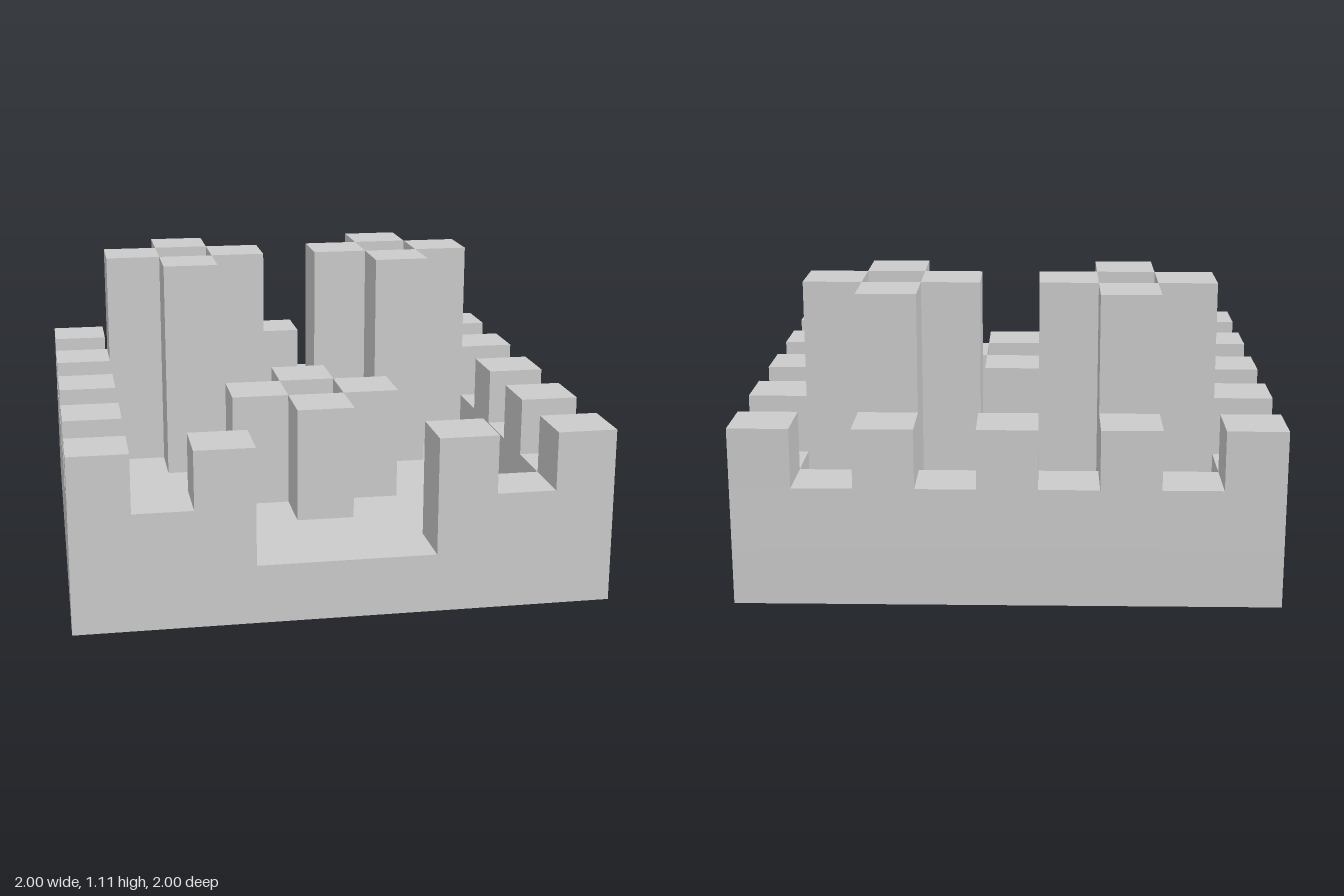
import * as THREE from 'three';

const N = 9;          // cells along each side
const U = 2 / N;      // size of one cell

export function createModel() {
  const castle = new THREE.Group();
  castle.name = 'castle';
  const material = new THREE.MeshStandardMaterial({ color: 0xcccccc, flatShading: true });

  // Block covering w x d cells from cell (i, j), between heights y0 and y1 (in cells)
  function block(name, i, j, w, d, y0, y1, parent = castle) {
    const mesh = new THREE.Mesh(new THREE.BoxGeometry(w * U, (y1 - y0) * U, d * U), material);
    mesh.position.set((i + w / 2) * U - 1, ((y0 + y1) / 2) * U, (j + d / 2) * U - 1);
    mesh.name = name;
    parent.add(mesh);
  }

  // Four pillars in a cross around an open centre cell
  function pillarCluster(name, i, j, height) {
    const group = new THREE.Group();
    group.name = name;
    for (const [di, dj] of [[0, -1], [-1, 0], [1, 0], [0, 1]]) {
      block('pillar', i + di, j + dj, 1, 1, 1, height, group);
    }
    castle.add(group);
  }

  // Floor slab and surrounding walls, with a gate gap in the front
  block('floor', 0, 0, N, N, 0, 1);
  block('backWall', 0, 0, N, 1, 1, 2);
  block('rightWall', 0, 1, 1, N - 2, 1, 2);
  block('leftWall', N - 1, 1, 1, N - 2, 1, 2);
  block('frontWallRight', 0, N - 1, 3, 1, 1, 2);
  block('frontWallLeft', N - 3, N - 1, 3, 1, 1, 2);

  // Battlements on every second wall cell, skipping the gate
  for (let i = 0; i < N; i += 2) {
    for (let j = 0; j < N; j += 2) {
      const onWall = i === 0 || i === N - 1 || j === 0 || j === N - 1;
      const inGate = i === 4 && j === N - 1;
      if (onWall && !inGate) block('battlement', i, j, 1, 1, 2, 3);
    }
  }

  // Two tall rear towers and a low one in the courtyard
  pillarCluster('rightTower', 2, 2, 5);
  pillarCluster('leftTower', 6, 2, 5);
  pillarCluster('courtyardTower', 4, 5, 3);

  return castle;
}
